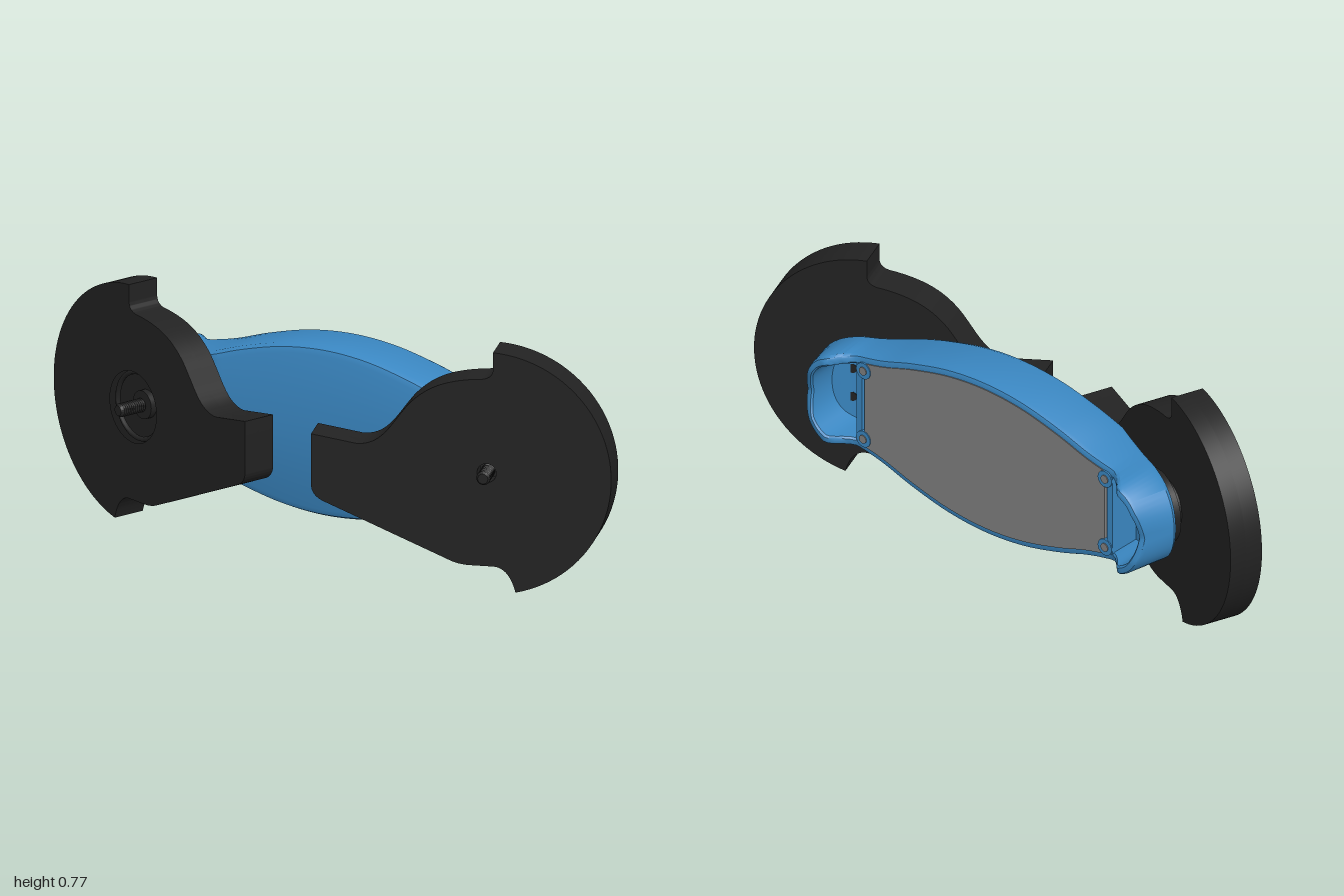
import * as THREE from 'three';
import { toCreasedNormals } from 'three/addons/utils/BufferGeometryUtils.js';

const MID = 0.379; // height of the long axis
const TILT = THREE.MathUtils.degToRad(20);

const blue = new THREE.MeshStandardMaterial({ color: 0x3a87c2 });
blue.name = 'blue plastic';
const black = new THREE.MeshStandardMaterial({ color: 0x222222 });
black.name = 'black plastic';
const grey = new THREE.MeshStandardMaterial({ color: 0x808080 });
grey.name = 'grey cover';

function add(parent, name, geometry, material, x = 0, y = 0, z = 0) {
  const mesh = new THREE.Mesh(geometry, material);
  mesh.name = name;
  mesh.position.set(x, y, z);
  parent.add(mesh);
  return mesh;
}

// Cylinder whose axis runs along z
const disc = (r, depth, sides = 32) => new THREE.CylinderGeometry(r, r, depth, sides).rotateX(Math.PI / 2);
const smooth = THREE.MathUtils.smoothstep;

// Body outline, mirrored from one quarter, counter-clockwise
function bodyOutline() {
  const q = [[0.72, 0], [0.705, 0.075], [0.665, 0.125], [0.6, 0.155], [0.52, 0.166],
    [0.42, 0.187], [0.3, 0.225], [0.15, 0.26], [0, 0.272]];
  const top = q.concat(q.slice(0, -1).reverse().map(([x, y]) => [-x, y]));
  const all = top.concat(top.slice(1, -1).reverse().map(([x, y]) => [x, -y]));
  const curve = new THREE.CatmullRomCurve3(all.map(([x, y]) => new THREE.Vector3(x, y, 0)), true);
  const n = 192;
  return Array.from({ length: n }, (_, i) => {
    const p = curve.getPointAt(i / n), t = curve.getTangentAt(i / n);
    return { x: p.x, y: p.y, nx: t.y, ny: -t.x };
  });
}

const inset = (p, d) => [p.x - p.nx * d, p.y - p.ny * d];
const frontZ = (x) => -0.01 - Math.max(0, Math.abs(x) - 0.4) * Math.tan(TILT);

// Back rim: flat in the middle, raised at the ends with a shallow V notch
function backZ(x, y) {
  const a = Math.abs(x);
  const notch = a > 0.6 ? 0.022 * Math.max(0, 1 - Math.abs(y) / 0.095) : 0;
  return -0.2 - 0.066 * smooth(a, 0.51, 0.61) + notch;
}

// Hollow shell lofted from the front face, round the rim, to the recess floor
function bodyGeometry(outline) {
  const taper = (x) => x - Math.sign(x) * 0.035 * smooth(Math.abs(x), 0.55, 0.72);
  const rows = outline.map((p) => {
    const at = (d, z, back) => {
      const [x, y] = inset(p, d);
      return [back ? taper(x) : x, y, z];
    };
    const f = frontZ(p.x), b = backZ(p.x, p.y);
    const [ix, iy] = inset(p, 0.032);
    const floor = frontZ(ix) - 0.04;
    return [
      [inset(p, 0.025)[0], 0, f], at(0.025, f), at(0.008, f - 0.007), at(0, f - 0.024),
      at(0, b + 0.015, true), at(0.006, b + 0.003, true), at(0.012, b, true), at(0.026, b, true),
      at(0.032, b + 0.006, true), [taper(ix), iy, floor], [taper(ix), 0, floor],
    ];
  });
  const n = rows.length, m = rows[0].length, index = [];
  for (let i = 0; i < n; i++) {
    for (let r = 0; r < m - 1; r++) {
      const a = i * m + r, d = ((i + 1) % n) * m + r;
      index.push(a, a + 1, d + 1, a, d + 1, d);
    }
  }
  const g = new THREE.BufferGeometry();
  g.setAttribute('position', new THREE.Float32BufferAttribute(rows.flat(2), 3));
  g.setIndex(index);
  return toCreasedNormals(g, 0.6);
}

function makeBody() {
  const body = new THREE.Group();
  body.name = 'body';
  body.position.y = MID;
  const outline = bodyOutline();
  add(body, 'shell', bodyGeometry(outline), blue);

  // Cover over the middle of the back
  const edge = outline.map((p) => inset(p, 0.024)).filter(([x]) => Math.abs(x) < 0.5);
  const cover = new THREE.Shape(edge.map(([x, y]) => new THREE.Vector2(x, y)));
  add(body, 'backCover', new THREE.ExtrudeGeometry(cover, { depth: 0.012, bevelEnabled: false }), grey, 0, 0, -0.203);

  for (const s of [-1, 1]) {
    add(body, 'pocketWall', new THREE.BoxGeometry(0.022, 0.28, 0.13), blue, s * 0.505, 0, -0.137);
    for (const t of [-1, 1]) {
      add(body, 'screwTab', disc(0.028, 0.03), blue, s * 0.487, t * 0.122, -0.191);
      add(body, 'screw', disc(0.014, 0.004, 20), grey, s * 0.487, t * 0.122, -0.207);
      // Cable holes in the sloping pocket floor
      const hole = add(body, 'pocketHole', disc(0.016, 0.006, 20), black, s * 0.6, t * 0.05, frontZ(0.6) - 0.041);
      hole.rotation.y = s * TILT;
    }
  }
  return body;
}

// Paddle outline: large round outer end, notches, narrow inner end
function paddlePoints(s) {
  const p = new THREE.Shape();
  p.absarc(0.08, 0, 0.389, -1.337, 1.519, false);
  p.lineTo(0.1, 0.335);
  p.quadraticCurveTo(0.1, 0.3, 0.05, 0.3);
  p.bezierCurveTo(-0.05, 0.29, -0.11, 0.265, -0.165, 0.205);
  p.bezierCurveTo(-0.22, 0.14, -0.245, 0.07, -0.326, 0.07);
  p.lineTo(-0.468, 0.092);
  p.lineTo(-0.468, -0.07);
  p.quadraticCurveTo(-0.468, -0.105, -0.43, -0.122);
  p.lineTo(-0.04, -0.285);
  p.quadraticCurveTo(-0.01, -0.299, 0.03, -0.299);
  p.lineTo(0.1, -0.299);
  p.quadraticCurveTo(0.15, -0.3, 0.17, -0.378);
  return p.getPoints(24).map((v) => new THREE.Vector2(s * v.x, v.y));
}

function paddleLayer(s, holeRadius) {
  const shape = new THREE.Shape(paddlePoints(s));
  const hole = new THREE.Path();
  hole.absarc(s * 0.08, 0, holeRadius, 0, Math.PI * 2, true);
  shape.holes.push(hole);
  const g = new THREE.ExtrudeGeometry(shape, { depth: 0.055, bevelEnabled: false, curveSegments: 24 });
  return toCreasedNormals(g, 0.5);
}

function boltGeometry() {
  const pts = [new THREE.Vector2(0, -0.09), new THREE.Vector2(0.018, -0.09)];
  for (let i = 0; i < 12; i++) {
    const y = 0.02 + i * 0.0075;
    pts.push(new THREE.Vector2(0.018, y), new THREE.Vector2(0.022, y + 0.00375));
  }
  pts.push(new THREE.Vector2(0.016, 0.115), new THREE.Vector2(0, 0.115));
  return toCreasedNormals(new THREE.LatheGeometry(pts, 20).rotateX(Math.PI / 2), 0.5);
}

function makePaddle(s) {
  const g = new THREE.Group();
  g.name = s > 0 ? 'leftPaddle' : 'rightPaddle';
  g.position.set(s * 0.539, MID, 0.046);
  g.rotation.y = s * TILT;
  // The round pocket opens forward on one side and backward on the other
  const u = s * 0.08;
  add(g, 'paddleFront', paddleLayer(s, s > 0 ? 0.03 : 0.114), black);
  add(g, 'paddleBack', paddleLayer(s, s > 0 ? 0.114 : 0.03), black, 0, 0, -0.055);
  if (s < 0) {
    add(g, 'pocketBoss', disc(0.045, 0.02), black, u, 0, 0.01);
    add(g, 'pocketRing', new THREE.TorusGeometry(0.106, 0.008, 8, 32), black, u, 0, 0.03);
  }
  add(g, 'spacer', disc(0.085, 0.024), black, u, 0, -0.066);
  add(g, 'mountDisc', disc(0.12, 0.022, 40), black, u, 0, -0.088);
  add(g, 'bolt', boltGeometry(), black, u, 0, 0);
  return g;
}

export function createModel() {
  const model = new THREE.Group();
  model.name = 'model';
  model.add(makeBody(), makePaddle(1), makePaddle(-1));
  return model;
}
